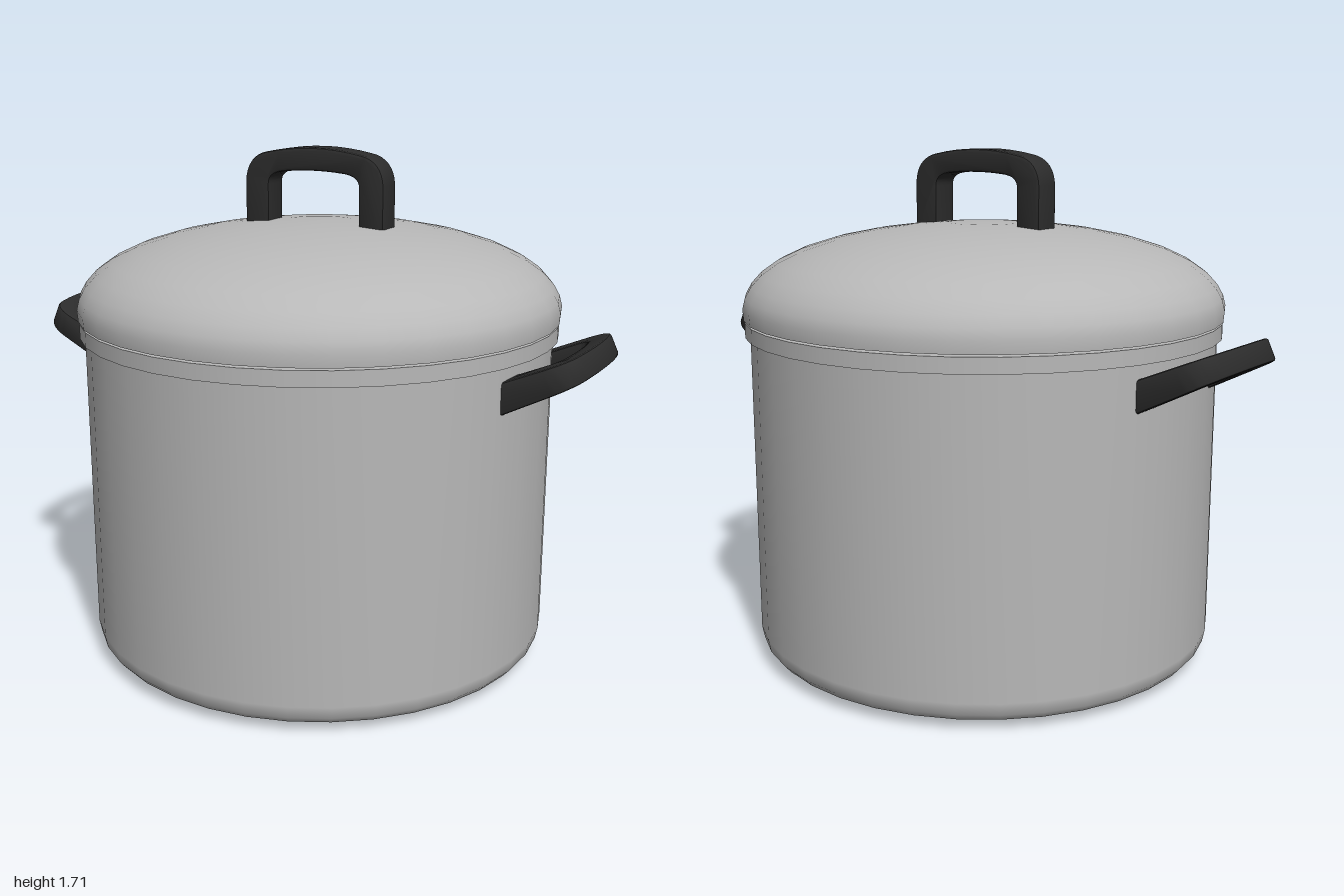
import * as THREE from 'three';
import { toCreasedNormals } from 'three/addons/utils/BufferGeometryUtils.js';

const metal = new THREE.MeshStandardMaterial({ color: 0xb8b8b8 });
metal.name = 'brushed metal';
const black = new THREE.MeshStandardMaterial({ color: 0x2c2c2c });
black.name = 'black plastic';

function mesh(name, geometry, material) {
  const m = new THREE.Mesh(geometry, material);
  m.name = name;
  return m;
}

// Turned part; a point listed twice makes a sharp edge
function turned(name, points) {
  const profile = points.map(([x, y]) => new THREE.Vector2(x, y));
  return mesh(name, new THREE.LatheGeometry(profile, 36), metal);
}

// Arched grip standing on y = 0, with legs running down to y = -sink.
// Thickness goes from rootDepth at the legs to tipDepth at the top.
function grip(name, height, sink, rootDepth, tipDepth) {
  const bevel = 0.01, b = bevel;
  const h = height - b;
  const s = new THREE.Shape();
  s.moveTo(-0.255 + b, -sink);
  s.lineTo(-0.255 + b, h - 0.105);
  s.quadraticCurveTo(-0.25 + b, h - 0.03, -0.17, h - 0.018);
  s.quadraticCurveTo(0, h + 0.018, 0.17, h - 0.018);
  s.quadraticCurveTo(0.25 - b, h - 0.03, 0.255 - b, h - 0.105);
  s.lineTo(0.255 - b, -sink);
  s.lineTo(0.165 + b, -sink);
  s.lineTo(0.165 + b, h - 0.115);
  s.quadraticCurveTo(0.165 + b, h - 0.065, 0.1, h - 0.06);
  s.quadraticCurveTo(0, h - 0.05, -0.1, h - 0.06);
  s.quadraticCurveTo(-0.165 - b, h - 0.065, -0.165 - b, h - 0.115);
  s.lineTo(-0.165 - b, -sink);
  s.closePath();

  const geo = new THREE.ExtrudeGeometry(s, {
    depth: rootDepth - 2 * bevel, curveSegments: 8,
    bevelEnabled: true, bevelSize: bevel, bevelThickness: bevel, bevelSegments: 2,
  });
  geo.translate(0, 0, bevel - rootDepth / 2);
  const p = geo.attributes.position;
  for (let i = 0; i < p.count; i++) {
    const t = THREE.MathUtils.clamp(p.getY(i) / height, 0, 1);
    p.setZ(i, p.getZ(i) * THREE.MathUtils.lerp(1, tipDepth / rootDepth, t));
  }
  return mesh(name, toCreasedNormals(geo, 0.6), black);
}

export function createModel() {
  const pot = new THREE.Group();
  pot.name = 'stockPot';

  // Hollow body with a rounded foot
  pot.add(turned('body', [
    [0, 0], [0.4, 0.003], [0.62, 0.012], [0.72, 0.022], [0.757, 0.036],
    [0.778, 0.06], [0.786, 0.1], [0.786, 1.12], [0.786, 1.12],
    [0.745, 1.12], [0.745, 1.12], [0.745, 0.04], [0.745, 0.04], [0, 0.03],
  ]));

  // Rolled band around the mouth
  pot.add(turned('rim', [
    [0.745, 1.105], [0.803, 1.105], [0.803, 1.105], [0.803, 1.155],
    [0.803, 1.155], [0.745, 1.155], [0.745, 1.155], [0.745, 1.105],
  ]));

  // Domed lid, with a short neck resting in the rim
  pot.add(turned('lid', [
    [0, 1.14], [0.74, 1.14], [0.74, 1.14], [0.74, 1.162], [0.74, 1.162],
    [0.806, 1.162], [0.806, 1.162], [0.809, 1.2], [0.8, 1.235], [0.78, 1.27],
    [0.745, 1.308], [0.69, 1.346], [0.61, 1.383], [0.5, 1.417], [0.38, 1.441],
    [0.25, 1.458], [0.12, 1.468], [0, 1.47],
  ]));

  const lidHandle = grip('lidHandle', 0.25, 0.02, 0.1, 0.1);
  lidHandle.position.y = 1.46;
  pot.add(lidHandle);

  // Side handles, tilted upward and mirrored
  const a = THREE.MathUtils.degToRad(25);
  const c = Math.cos(a), sn = Math.sin(a);
  for (const [name, turn] of [['leftHandle', 0], ['rightHandle', Math.PI]]) {
    const side = new THREE.Group();
    side.name = name;
    const handle = grip(name + 'Grip', 0.267, 0.02, 0.096, 0.074);
    handle.quaternion.setFromRotationMatrix(new THREE.Matrix4().makeBasis(
      new THREE.Vector3(0, 0, 1), new THREE.Vector3(c, sn, 0), new THREE.Vector3(-sn, c, 0)));
    handle.position.set(0.743, 1.007, 0);
    side.add(handle);
    side.rotation.y = turn;
    pot.add(side);
  }
  return pot;
}
